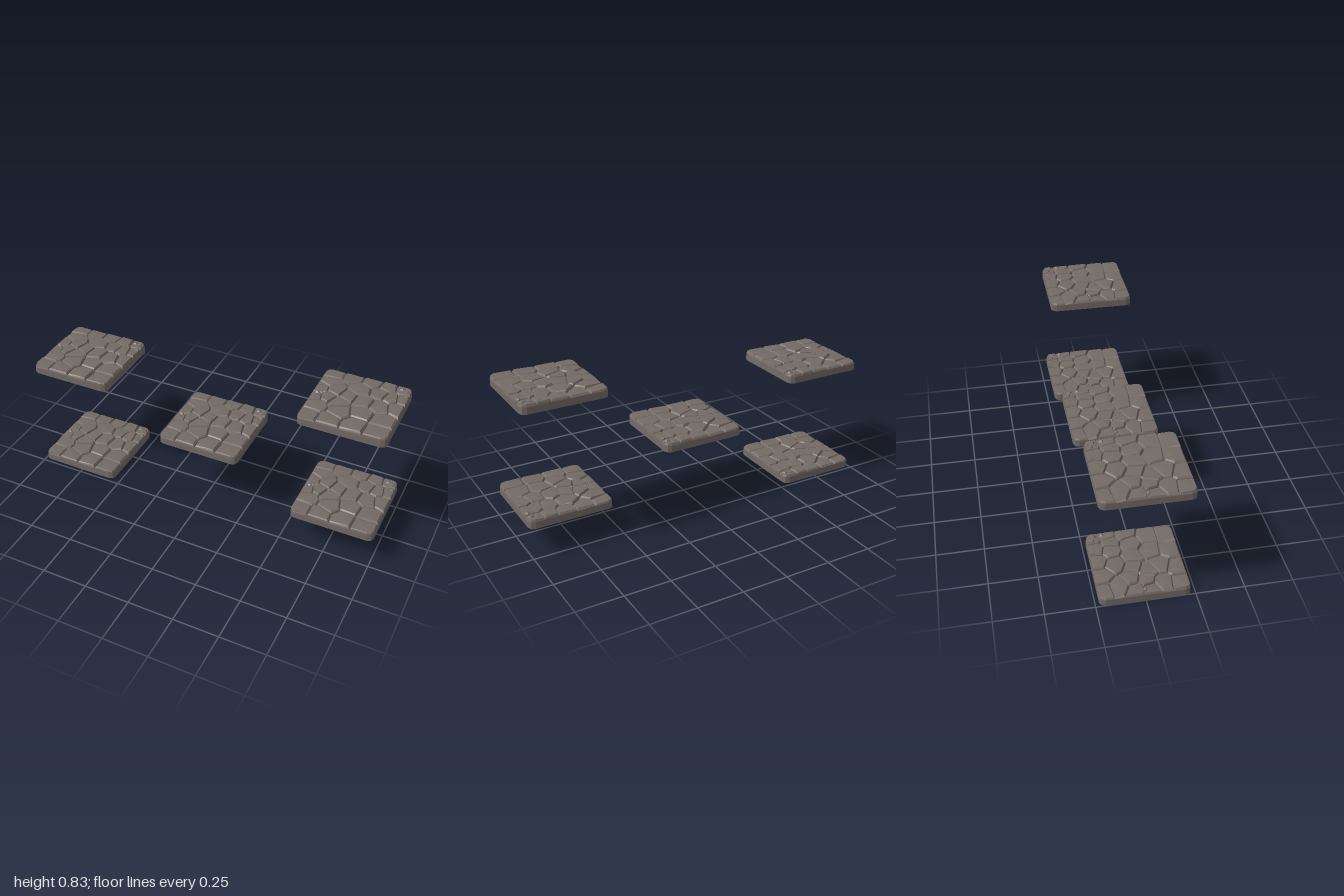
import * as THREE from 'three';

const HALF = 0.229;      // half width of one slab
const GROOVE = 0.036;    // height of the joints between stones

// x, z, height of each paving stone
const STONES = [
  [-0.17, -0.2, 0.047], [-0.08, -0.2, 0.05], [0.03, -0.2, 0.052], [0.11, -0.19, 0.054], [0.19, -0.2, 0.05],
  [-0.16, -0.12, 0.052], [-0.01, -0.11, 0.056], [0.09, -0.12, 0.055], [0.15, -0.11, 0.055], [0.205, -0.12, 0.052],
  [-0.2, -0.04, 0.05], [-0.12, -0.05, 0.058], [-0.05, -0.03, 0.056], [0.03, -0.02, 0.058], [0.12, -0.01, 0.056], [0.2, -0.03, 0.054],
  [-0.205, 0.03, 0.048], [-0.14, 0.015, 0.055], [-0.08, 0.04, 0.057],
  [-0.17, 0.1, 0.052], [-0.05, 0.11, 0.056], [0.06, 0.08, 0.057], [0.16, 0.09, 0.055],
  [-0.18, 0.19, 0.05], [-0.08, 0.19, 0.052], [0.05, 0.18, 0.054], [0.16, 0.185, 0.052],
];

function seeded(seed) {
  return () => {
    seed = (seed * 16807) % 2147483647;
    return seed / 2147483647;
  };
}

// Square with rounded corners, as [x, z] points
function slabOutline() {
  const points = [], r = 0.03;
  for (let c = 0; c < 4; c++) {
    for (let s = 0; s <= 2; s++) {
      const a = (c + s / 2) * Math.PI / 2;
      const sx = c === 0 || c === 3 ? 1 : -1, sz = c < 2 ? 1 : -1;
      points.push([sx * (HALF - r) + r * Math.cos(a), sz * (HALF - r) + r * Math.sin(a)]);
    }
  }
  return points;
}

// Keep the part of a polygon that lies nearer to a than to b
function clipNearer(polygon, a, b) {
  const nx = b[0] - a[0], nz = b[1] - a[1];
  const d = nx * (a[0] + b[0]) / 2 + nz * (a[1] + b[1]) / 2;
  const out = [];
  polygon.forEach((p, i) => {
    const q = polygon[(i + 1) % polygon.length];
    const dp = p[0] * nx + p[1] * nz - d, dq = q[0] * nx + q[1] * nz - d;
    if (dp <= 0) out.push(p);
    if (dp * dq < 0) {
      const t = dp / (dp - dq);
      out.push([p[0] + t * (q[0] - p[0]), p[1] + t * (q[1] - p[1])]);
    }
  });
  return out;
}

function triangles(list) {
  const geometry = new THREE.BufferGeometry();
  geometry.setAttribute('position', new THREE.Float32BufferAttribute(list.flat(), 3));
  geometry.computeVertexNormals();
  return geometry;
}

// Join stacked loops of equal length
function bridge(list, lower, upper) {
  lower.forEach((p, i) => {
    const j = (i + 1) % lower.length;
    list.push(p, upper[i], lower[j], lower[j], upper[i], upper[j]);
  });
}

// Chipped stone: groove edge, shoulder, then a tilted top
function stoneGeometry(cell, height, random) {
  const cx = cell.reduce((s, p) => s + p[0], 0) / cell.length;
  const cz = cell.reduce((s, p) => s + p[1], 0) / cell.length;
  const tx = (random() - 0.5) * 0.07, tz = (random() - 0.5) * 0.07;
  const loop = (scale, y) => cell.map(([x, z]) => {
    const dx = (x - cx) * scale, dz = (z - cz) * scale;
    return [cx + dx, y(dx, dz), cz + dz];
  });
  const base = loop(1, () => GROOVE);
  const shoulder = loop(0.95, (dx, dz) => Math.max(GROOVE, height - 0.007 + tx * dx + tz * dz - random() * 0.004));
  const top = loop(0.84, (dx, dz) => height + tx * dx + tz * dz - random() * 0.002);
  const list = [];
  bridge(list, base, shoulder);
  bridge(list, shoulder, top);
  top.forEach((p, i) => list.push(p, [cx, height + 0.001, cz], top[(i + 1) % top.length]));
  return triangles(list);
}

// Open rim standing below the outer stones
function rimGeometry(outline) {
  const list = [];
  bridge(list, outline.map(([x, z]) => [x * 1.005, 0, z * 1.005]), outline.map(([x, z]) => [x, GROOVE, z]));
  return triangles(list);
}

function pebbleGeometry(radius, random) {
  const geometry = new THREE.DodecahedronGeometry(radius, 0);
  geometry.rotateX(random() * 3).rotateY(random() * 3).scale(1.1, 0.85, 1);
  return geometry;
}

export function createModel() {
  const model = new THREE.Group();
  model.name = 'floatingStonePlatforms';
  const stoneGrey = new THREE.MeshStandardMaterial({ color: 0x736a65, flatShading: true, side: THREE.DoubleSide });
  stoneGrey.name = 'stone grey';

  const random = seeded(417);
  const outline = slabOutline();
  const parts = [['rim', rimGeometry(outline)]];
  for (const stone of STONES) {
    let cell = outline;
    for (const other of STONES) if (other !== stone) cell = clipNearer(cell, stone, other);
    parts.push(['pavingStone', stoneGeometry(cell, stone[2], random)]);
  }
  // Loose rubble along the rear left edge and between the smaller stones
  const rubble = [
    [0.205, -0.19, 0.018], [0.175, -0.2, 0.016], [0.21, -0.145, 0.016], [0.205, -0.09, 0.014],
    [0.13, -0.205, 0.016], [-0.165, -0.02, 0.014], [-0.09, -0.005, 0.013], [-0.2, 0.0, 0.013],
  ];
  for (const [x, z, r] of rubble) {
    parts.push(['rubble', pebbleGeometry(r, random).translate(x, 0.044, z)]);
  }

  // Five identical slabs at different heights
  for (const [x, y] of [[-0.77, 0], [-0.77, 0.617], [0, 0.387], [0.77, 0.156], [0.77, 0.772]]) {
    const slab = new THREE.Group();
    slab.name = 'stoneSlab';
    for (const [name, geometry] of parts) {
      const mesh = new THREE.Mesh(geometry, stoneGrey);
      mesh.name = name;
      slab.add(mesh);
    }
    slab.position.set(x, y, 0);
    model.add(slab);
  }
  return model;
}
